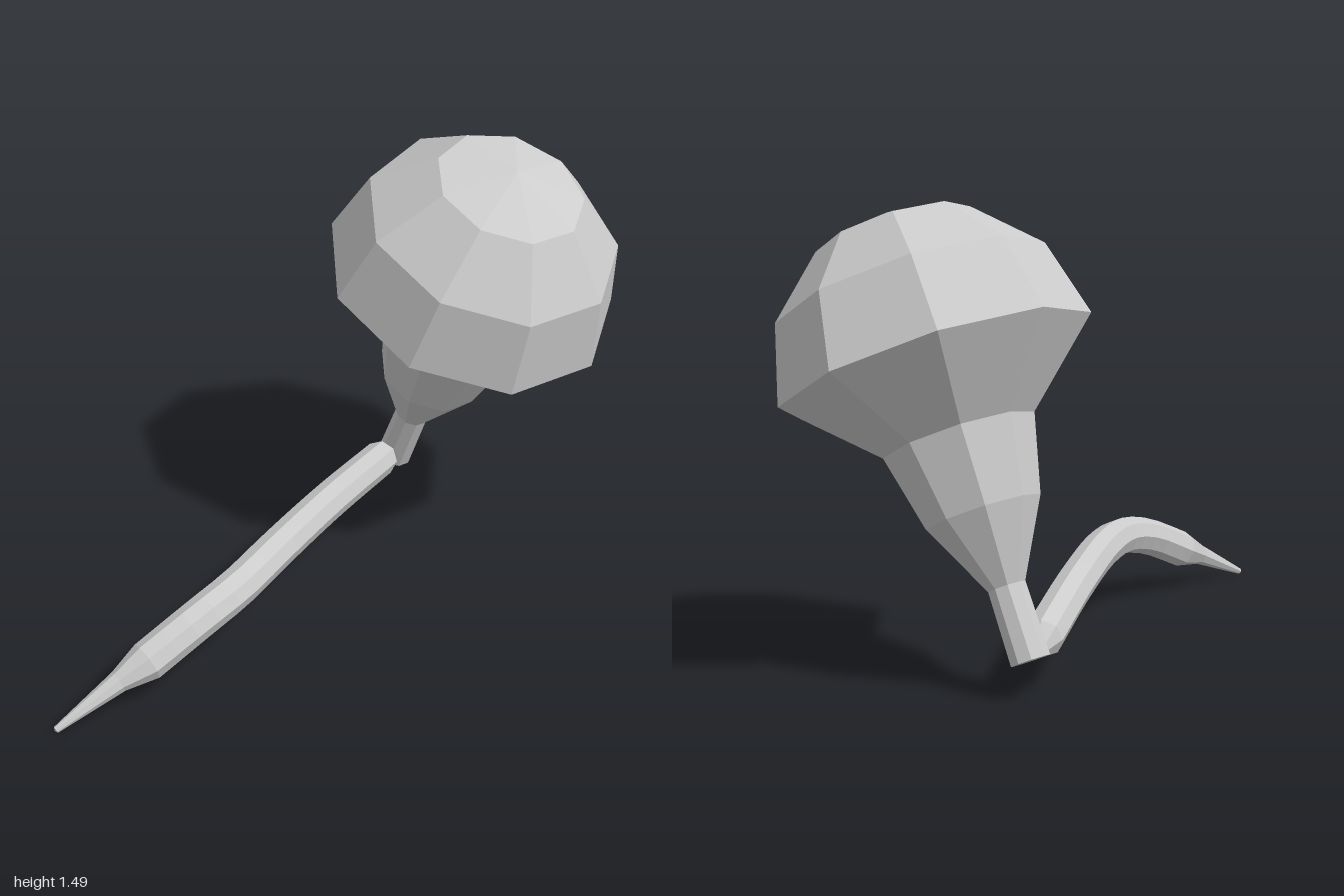
import * as THREE from 'three';

const material = new THREE.MeshStandardMaterial({ color: 0xcccccc, flatShading: true, side: THREE.DoubleSide });
const V = (x, y, z) => new THREE.Vector3(x, y, z);

// Sweep a polygon of varying radius along a list of { p, r } stations
function sweep(stations, sides) {
  const pos = [], index = [];
  const last = stations.length - 1;
  stations.forEach(({ p, r }, i) => {
    const before = stations[Math.max(i - 1, 0)].p;
    const after = stations[Math.min(i + 1, last)].p;
    const t = after.clone().sub(before).normalize();
    const side = t.clone().cross(V(0, 1, 0)).normalize();
    const up = side.clone().cross(t);
    for (let j = 0; j < sides; j++) {
      const a = (j / sides) * Math.PI * 2;
      const q = p.clone().addScaledVector(side, r * Math.cos(a)).addScaledVector(up, r * Math.sin(a));
      pos.push(q.x, q.y, q.z);
      if (i < last) {
        const k = (j + 1) % sides;
        const A = i * sides + j, B = i * sides + k;
        index.push(A, A + sides, B, B, A + sides, B + sides);
      }
    }
  });
  const geo = new THREE.BufferGeometry();
  geo.setAttribute('position', new THREE.Float32BufferAttribute(pos, 3));
  geo.setIndex(index);
  geo.computeVertexNormals();
  return geo;
}

// Nine-sided bulb: narrow neck, flared body and a domed top, leaning on its axis
function makeBulb() {
  const R = 0.505;
  const profile = [[0, -0.95], [0.063, -0.95], [0.06, -0.715], [0.185, -0.48], [0.245, -0.235]]
    .map(([r, y]) => new THREE.Vector2(r, y));
  for (let i = 0; i <= 3; i++) {
    const a = (i * Math.PI) / 6;
    profile.push(new THREE.Vector2(i === 3 ? 0 : R * Math.cos(a), R * Math.sin(a)));
  }
  const bulb = new THREE.Mesh(new THREE.LatheGeometry(profile, 9), material);
  bulb.name = 'bulb';
  const axis = V(0.185, 0.909, 0.373).normalize();
  const across = axis.clone().cross(V(0.485, -0.1, 0.02)).normalize();
  const corner = across.clone().cross(axis);
  bulb.quaternion.setFromRotationMatrix(new THREE.Matrix4().makeBasis(across, axis, corner));
  bulb.position.set(0.515, 0.99, -0.24);
  return bulb;
}

// Curved tail: pointed where it meets the neck, even in the middle, tapering to a thin tip
function makeTail() {
  const curve = new THREE.CatmullRomCurve3([
    V(0.265, 0.165, -0.5), V(0, 0.235, -0.12), V(-0.23, 0.27, 0.2),
    V(-0.385, 0.262, 0.385), V(-0.52, 0.228, 0.485), V(-0.695, 0.15, 0.573),
  ]);
  const stations = [
    { p: V(0.315, 0.13, -0.585), r: 0 },
    ...curve.getSpacedPoints(18).map((p) => ({ p, r: 0.065 })),
    { p: V(-0.79, 0.112, 0.612), r: 0.036 },
    { p: V(-0.996, 0.014, 0.694), r: 0.011 },
    { p: V(-1, 0.012, 0.696), r: 0 },
  ];
  const tail = new THREE.Mesh(sweep(stations, 8), material);
  tail.name = 'tail';
  return tail;
}

export function createModel() {
  const model = new THREE.Group();
  model.name = 'bulbWithTail';
  model.add(makeBulb(), makeTail());
  return model;
}
